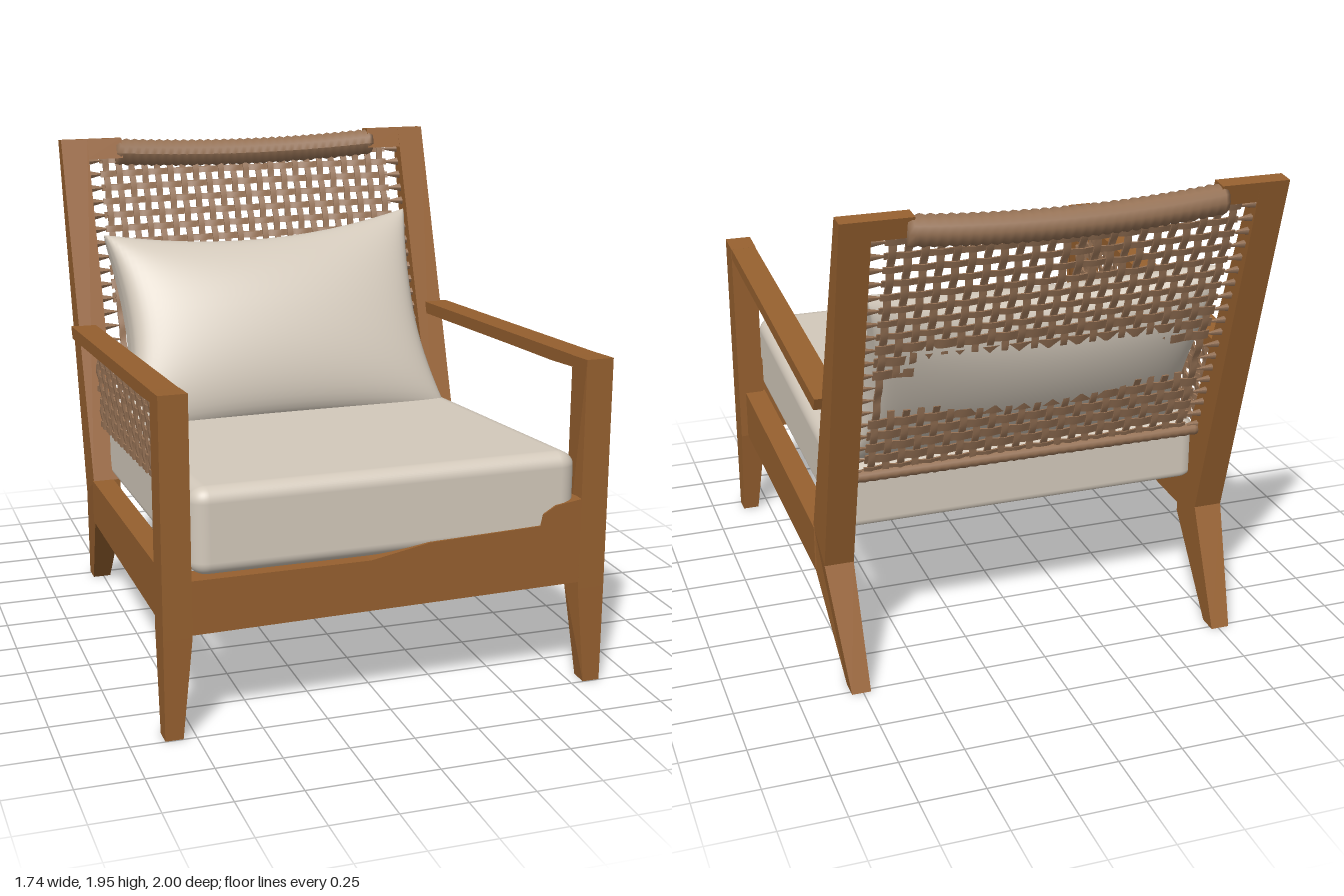
import * as THREE from 'three';
import { mergeGeometries } from 'three/addons/utils/BufferGeometryUtils.js';
import { RoundedBoxGeometry } from 'three/addons/geometries/RoundedBoxGeometry.js';

const mat = (name, color) => {
  const m = new THREE.MeshStandardMaterial({ color });
  m.name = name;
  return m;
};

// Moves every vertex of a geometry by a rule
function warp(geo, rule) {
  const p = geo.attributes.position, v = new THREE.Vector3();
  for (let i = 0; i < p.count; i++) {
    v.fromBufferAttribute(p, i);
    rule(v);
    p.setXYZ(i, v.x, v.y, v.z);
  }
  return geo;
}

// Side profile of [z, y] points, extruded from x0 to x1
function sidePart(points, x0, x1) {
  const shape = new THREE.Shape(points.map(([z, y]) => new THREE.Vector2(z, y)));
  const geo = new THREE.ExtrudeGeometry(shape, { depth: x1 - x0, bevelEnabled: false });
  return geo.rotateY(-Math.PI / 2).translate(x1, 0, 0);
}

// Front edge of the raked back post at height y
const postFront = y => -0.394 - (y - 0.55) * 0.358;

export function createModel() {
  const chair = new THREE.Group();
  chair.name = 'armchair';
  const wood = mat('wood', 0x96602f);
  const cane = mat('cane', 0x967255);
  const fabric = mat('fabric', 0xd3c9bb);
  const add = (name, geo, material) => {
    const mesh = new THREE.Mesh(geo, material);
    mesh.name = name;
    chair.add(mesh);
    return mesh;
  };

  // Wooden side frames
  for (const s of [1, -1]) {
    const side = s > 0 ? 'left' : 'right';
    const part = (pts, a, b) => s > 0 ? sidePart(pts, a, b) : sidePart(pts, -b, -a);

    const leg = part([[0.998, 0], [1, 0.39], [0.998, 1.295], [0.877, 1.285], [0.877, 0.39], [0.925, 0]], 0.76, 0.868);
    warp(leg, v => { if (v.y < 0.01 && Math.abs(v.x) < 0.8) v.x = s * 0.8; });
    leg.computeVertexNormals();
    add(side + 'FrontLeg', leg, wood);

    const post = part([[-0.893, 1.945], [-0.394, 0.55], [-0.394, 0.365], [-0.69, 0],
      [-0.77, 0], [-0.56, 0.455], [-0.96, 1.938]], 0.72, 0.835);
    warp(post, v => { if (v.y < 0.01 && Math.abs(v.x) > 0.8) v.x = s * 0.795; });
    post.computeVertexNormals();
    add(side + 'BackPost', post, wood);

    add(side + 'Armrest', part([[0.88, 1.285], [-0.63, 1.18], [-0.61, 1.13], [0.3, 1.195],
      [0.7, 1.222], [0.88, 1.24]], 0.762, 0.866), wood);
    add(side + 'SeatRail', part([[0.89, 0.39], [0.89, 0.6], [-0.41, 0.55], [-0.41, 0.365]], 0.75, 0.838), wood);

    // Bare end of the top rail, up to the rope wrapping
    add(side + 'TopRailEnd', part([[-0.865, 1.86], [-0.893, 1.945], [-0.96, 1.938], [-0.938, 1.86]], 0.57, 0.73), wood);
  }

  // Front rail with its uneven upper edge
  const railShape = new THREE.Shape([[-0.765, 0.395], [0.765, 0.415], [0.765, 0.75], [0.66, 0.735],
    [0.61, 0.705], [0.6, 0.66], [0.15, 0.645], [-0.08, 0.602], [-0.765, 0.602]]
    .map(([x, y]) => new THREE.Vector2(x, y)));
  add('frontRail', new THREE.ExtrudeGeometry(railShape, { depth: 0.1, bevelEnabled: false })
    .translate(0, 0, 0.89), wood);

  // Seat cushion, thinner and lower toward the back
  const seat = new RoundedBoxGeometry(1.505, 1, 1.475, 6, 0.07);
  warp(seat, v => {
    // stretch the rounded rims so they stay round at the flattened height
    const h = Math.abs(v.y);
    const t = Math.sign(v.y) * (h > 0.43 ? 0.5 - (0.5 - h) * 2.4 : h * 0.332 / 0.43);
    v.z += 0.245;
    const top = 0.935 - 0.088 * (0.98 - v.z), bottom = 0.6 - 0.035 * (0.98 - v.z);
    v.y = (top + bottom) / 2 + t * (top - bottom);
  });
  add('seatCushion', seat, fabric);

  // Back pillow: two domed faces meeting at a pinched edge, wider at the bottom
  const faces = [1, -1].map(f => {
    const geo = new THREE.PlaneGeometry(2, 2, 40, 28);
    warp(geo, v => {
      const u = Math.sin(v.x * Math.PI / 2), w = Math.sin(v.y * Math.PI / 2);
      const puff = Math.pow(Math.max(0, 1 - u * u), f > 0 ? 0.27 : 0.15) * Math.pow(Math.max(0, 1 - w * w), 0.45);
      v.set(f * u * (0.64 + (w > 0 ? 0.055 : 0.095) * w * w),
        0.468 * w * (1 - (w > 0 ? 0.19 : 0.08) * (1 - u * u)) + 0.025 * f * u * Math.max(w, 0),
        f * puff * (f > 0 ? 0.19 : 0.176));
    });
    geo.computeVertexNormals();
    return geo;
  });
  const pillow = add('backPillow', mergeGeometries(faces), fabric);
  pillow.rotation.x = -0.515;
  pillow.position.set(0, 1.165, -0.5);

  // Woven strip in a flat panel: runs along x or y, weaving over and under
  const pitch = 0.058;
  function strip(alongX, a, b, at, width, phase) {
    const n = Math.max(4, Math.round((b - a) / pitch * 2));
    const geo = alongX
      ? new THREE.BoxGeometry(b - a, width, 0.01, n, 1, 1).translate((a + b) / 2, at, 0)
      : new THREE.BoxGeometry(width, b - a, 0.01, 1, n, 1).translate(at, (a + b) / 2, 0);
    return warp(geo, v => { v.z += 0.0055 * Math.cos(((alongX ? v.x : v.y) / pitch + phase) * Math.PI); });
  }
  // Tapered lashing whose wide end sits on the frame
  const lash = (x, y, dir) => new THREE.ConeGeometry(0.024, 0.11, 5)
    .rotateZ(-dir * Math.PI / 2).translate(x + dir * 0.055, y, 0);
  function panel(name, strips, rule) {
    const geo = warp(mergeGeometries(strips), rule);
    geo.computeVertexNormals();
    add(name, geo, cane);
  }

  // Cane back panel, bowed toward the top, parted where the pillow presses through
  const back = [], gap = [1.1, 1.26];
  for (let i = 0; i < 19; i++) {
    const y = 0.82 + i * 0.057;
    if (y < gap[0] || y > gap[1]) back.push(strip(true, -0.665, 0.665, y, y < 1.42 ? 0.038 : 0.025, i));
    back.push(lash(-0.75, y, 1), lash(0.75, y, -1));
  }
  for (let i = -11; i <= 11; i++) {
    const spans = Math.abs(i) > 10 ? [[0.79, 1.87]] : [[0.79, gap[0]], [gap[1], 1.87]];
    for (const [a, b] of spans) back.push(strip(false, a, b, i * pitch, 0.026, i + 1));
  }
  panel('caneBack', back, v => {
    const bow = 1 - (v.x / 0.74) ** 2;
    v.z += -0.53 - (v.y - 0.8) * 0.367 - 0.025 * bow * (v.y - 0.8);
  });

  // Cane panel under the right armrest only
  const arm = [];
  for (let i = 0; i < 8; i++) {
    const y = 0.875 + i * 0.049;
    arm.push(strip(true, postFront(y - 0.09) - 0.02, 0.885, y, 0.024, i), lash(0.88, y, -1));
  }
  for (let i = 0; i < 24; i++) {
    const z = 0.8 - i * pitch;
    const low = Math.max(0.86, 0.55 + (-0.394 - z) / 0.358 + 0.09);
    if (low < 1.2) arm.push(strip(false, low, 1.25, z, 0.026, i));
  }
  panel('caneArmPanel', arm, v => {
    v.set(-0.772 - v.z, v.y + 0.07 * (v.x - 0.87), v.x);
  });

  // Ribbed cane wrapping along the top and bottom of the back
  function wrap(name, half, radius, coils, y, z, sag, bow) {
    const profile = [new THREE.Vector2(0, -half)];
    for (let i = 0; i <= coils * 2; i++) {
      profile.push(new THREE.Vector2(radius * (i % 2 ? 1 : 0.88), -half + i * half / coils));
    }
    profile.push(new THREE.Vector2(0, half));
    const geo = new THREE.LatheGeometry(profile, 12).rotateZ(-Math.PI / 2);
    warp(geo, v => {
      const c = 1 - (v.x / half) ** 2;
      v.y += y - sag * c;
      v.z += z - bow * c;
    });
    geo.computeVertexNormals();
    add(name, geo, cane);
  }
  wrap('topWrapping', 0.595, 0.06, 32, 1.882, -0.922, 0.024, 0.018);
  wrap('bottomWrapping', 0.725, 0.026, 36, 0.8, -0.535, 0, 0);

  return chair;
}
